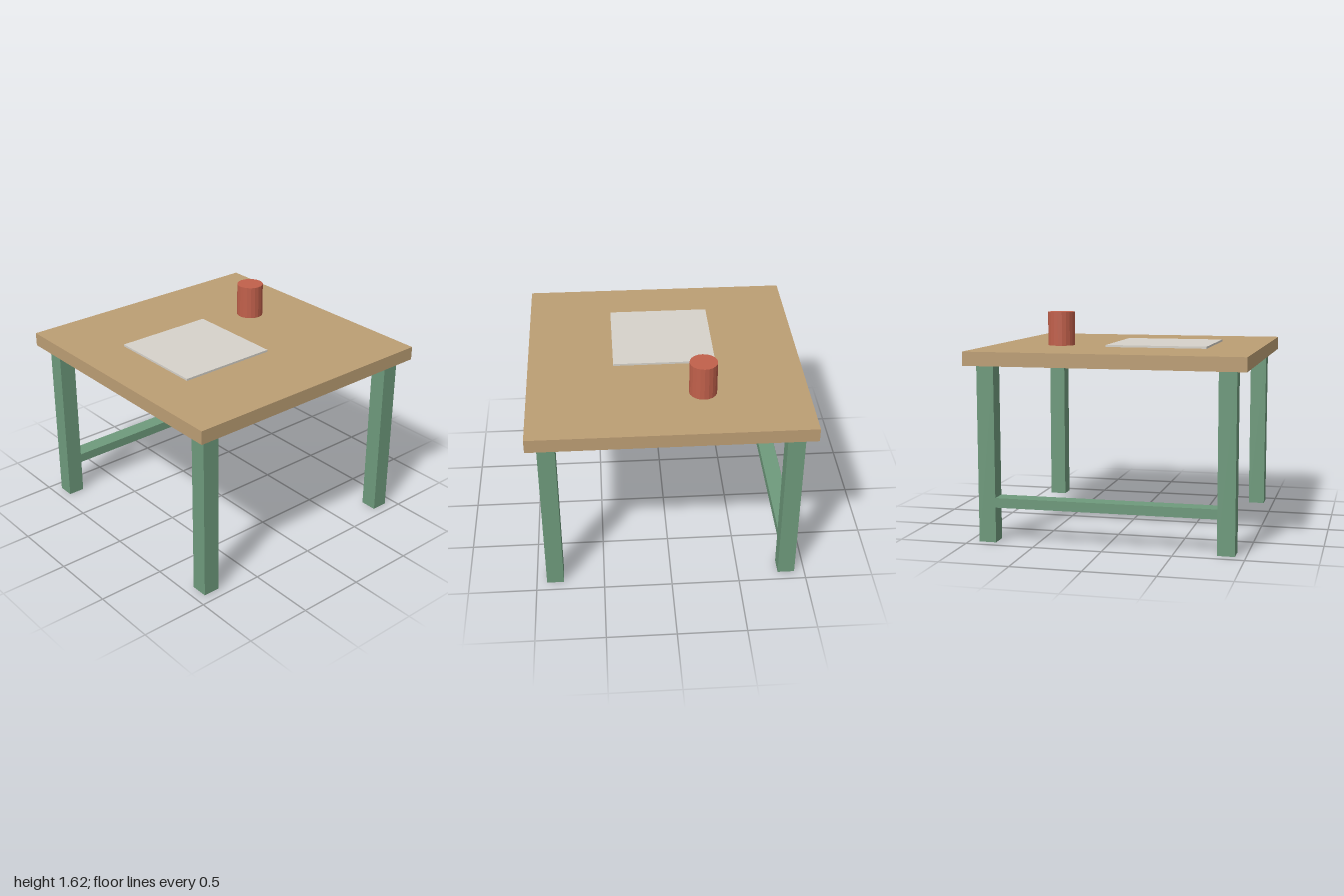
import * as THREE from 'three';

export function createModel() {
  const model = new THREE.Group();
  const paint = (color) => new THREE.MeshStandardMaterial({ color, flatShading: true });
  const wood = paint(0xbc9e74);
  const green = paint(0x6e9a7c);
  const white = paint(0xd6d2ca);
  const red = paint(0xc1604b);

  const add = (name, geometry, material, x, y, z) => {
    const mesh = new THREE.Mesh(geometry, material);
    mesh.name = name;
    mesh.position.set(x, y, z);
    model.add(mesh);
  };
  const box = (w, h, d) => new THREE.BoxGeometry(w, h, d);

  const topY = 1.375, underY = 1.275, leg = 0.125, legAt = 0.8625;

  // Square tabletop
  add('tabletop', box(2, topY - underY, 2), wood, 0, (topY + underY) / 2, 0);

  // Four legs, inset from the corners
  for (const [side, sx] of [['Left', 1], ['Right', -1]]) {
    for (const [end, sz] of [['front', 1], ['back', -1]]) {
      add(`${end}${side}Leg`, box(leg, underY, leg), green, sx * legAt, underY / 2, sz * legAt);
    }
  }

  // Stretcher between the back legs
  add('backStretcher', box(2 * legAt - leg, 0.07, leg), green, 0, 0.29, -legAt);

  // Flat sheet and cup on the tabletop
  add('paperSheet', box(0.75, 0.015, 0.75), white, -0.25, topY + 0.0075, 0);
  add('cup', new THREE.CylinderGeometry(0.1, 0.1, 0.25, 20), red, 0.5, topY + 0.125, -0.25);

  return model;
}
